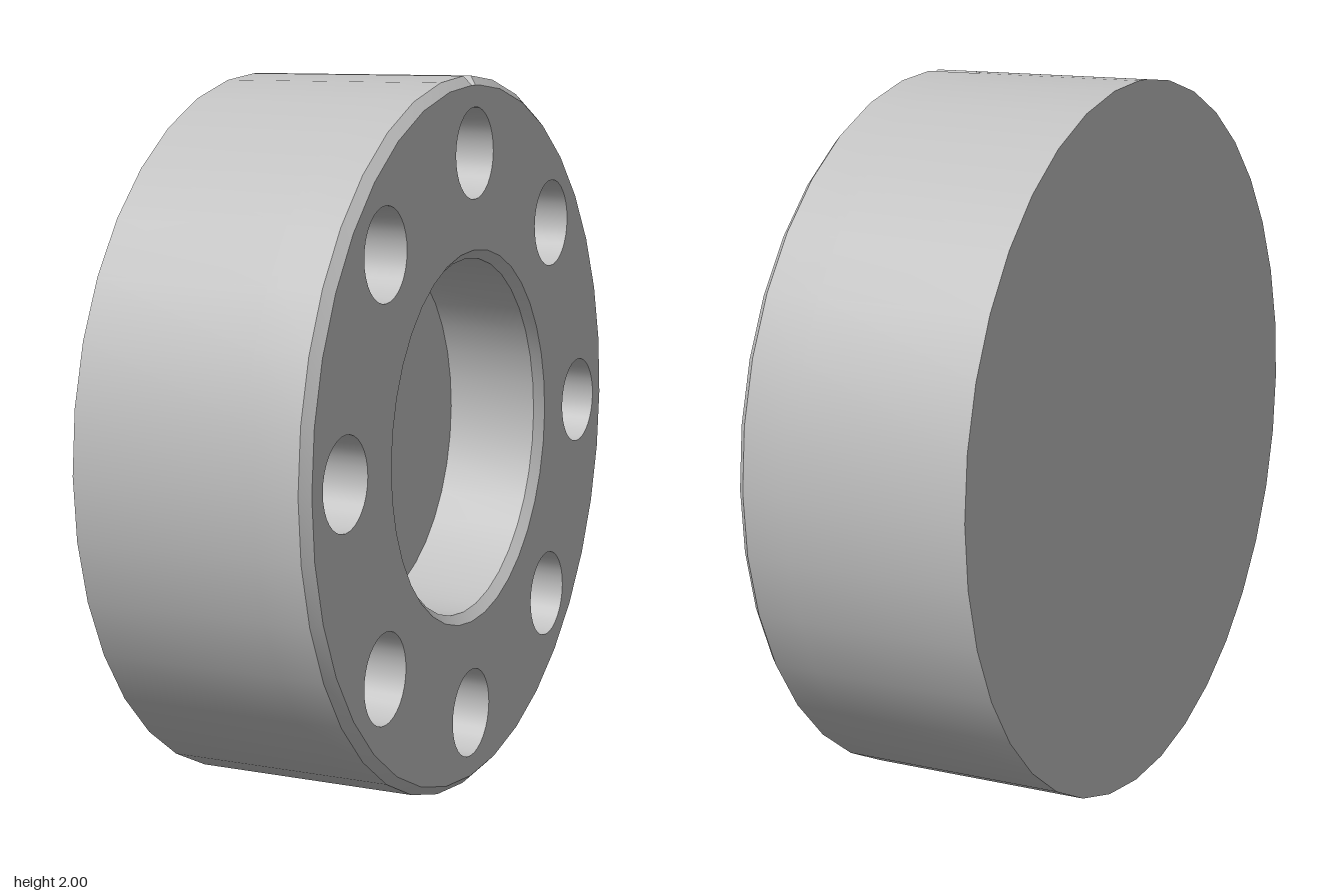
import * as THREE from 'three';
import { toCreasedNormals } from 'three/addons/utils/BufferGeometryUtils.js';

const BACK = -0.3375, FRONT = 0.3375, CHAMFER = 0.025;
const TOP = Math.PI / 2;

// Even angles round a circle, starting at the top
const circleAngles = (n) => Array.from({ length: n }, (_, i) => TOP + (i / n) * Math.PI * 2);

// Ring of points about the z axis; radius may be a function of point index
const ring = (angles, z, radius) => angles.map((a, i) => {
  const r = typeof radius === 'function' ? radius(i) : radius;
  return new THREE.Vector3(Math.cos(a) * r, Math.sin(a) * r, z);
});

// Skin joining closed rings; faces outward when z rises, inward when z falls
function loft(rings) {
  const n = rings[0].length, index = [];
  for (let k = 0; k < rings.length - 1; k++) {
    for (let j = 0; j < n; j++) {
      const a = k * n + j, b = k * n + (j + 1) % n;
      index.push(a, b, b + n, a, b + n, a + n);
    }
  }
  const geo = new THREE.BufferGeometry().setFromPoints(rings.flat());
  geo.setIndex(index);
  return toCreasedNormals(geo, 0.5);
}

// Flat plate outlined by rings, facing +z at height z
function plate(outline, z, holes = []) {
  const flat = (pts) => pts.map((p) => new THREE.Vector2(p.x, p.y));
  const shape = new THREE.Shape(flat(outline));
  for (const h of holes) shape.holes.push(new THREE.Path(flat(h)));
  return new THREE.ShapeGeometry(shape).translate(0, 0, z);
}

export function createModel() {
  const metal = new THREE.MeshStandardMaterial({ color: 0xc0c0c0 });
  metal.name = 'light grey metal';

  const model = new THREE.Group();
  model.name = 'flange';
  const body = new THREE.Group();
  body.name = 'body';
  body.rotation.y = Math.PI / 2; // disc axis along x
  body.position.y = 1;
  model.add(body);

  const add = (name, geometry, parent = body) => {
    const mesh = new THREE.Mesh(geometry, metal);
    mesh.name = name;
    parent.add(mesh);
    return mesh;
  };

  // Outer wall with front chamfer and a V-shaped index groove at the top
  const regular = circleAngles(36);
  const angles = [TOP, TOP + 0.025, ...regular.slice(1), TOP + Math.PI * 2 - 0.025];
  const grooved = (i) => (i === 0 ? 1 - CHAMFER : 1);
  const outer = [
    ring(angles, BACK, 1),
    ring(angles, 0.16, 1),
    ring(angles, 0.161, (i) => (i === 0 ? 0.999 : 1)),
    ring(angles, 0.185, grooved),
    ring(angles, FRONT - CHAMFER, grooved),
    ring(angles, FRONT, 1 - CHAMFER),
  ];
  add('outerWall', loft(outer));

  // Closed back
  add('backFace', plate(outer[0], 0).rotateY(Math.PI).translate(0, 0, BACK));

  // Central recess with chamfered mouth
  const boreAngles = circleAngles(36);
  const bore = [
    ring(boreAngles, FRONT, 0.525),
    ring(boreAngles, FRONT - CHAMFER, 0.5),
    ring(boreAngles, 0.045, 0.5),
  ];
  add('recessWall', loft(bore));
  add('recessFloor', plate(bore[2], 0.045));

  // Eight blind bolt holes
  const holeAngles = circleAngles(32), depth = 0.34, mouths = [];
  for (let i = 0; i < 8; i++) {
    const a = (i / 8) * Math.PI * 2;
    const centre = new THREE.Vector3(Math.cos(a) * 0.79, Math.sin(a) * 0.79, 0);
    const mouth = ring(holeAngles, FRONT, 0.126);
    const end = ring(holeAngles, FRONT - depth, 0.126);
    const hole = new THREE.Group();
    hole.name = 'boltHole' + (i + 1);
    hole.position.copy(centre);
    add('holeWall', loft([mouth, end]), hole);
    add('holeFloor', plate(end, FRONT - depth), hole);
    body.add(hole);
    mouths.push(mouth.map((p) => p.clone().add(centre)));
  }

  // Front face pierced by the recess and the bolt holes
  add('frontFace', plate(outer[5], FRONT, [bore[0], ...mouths]));

  return model;
}
